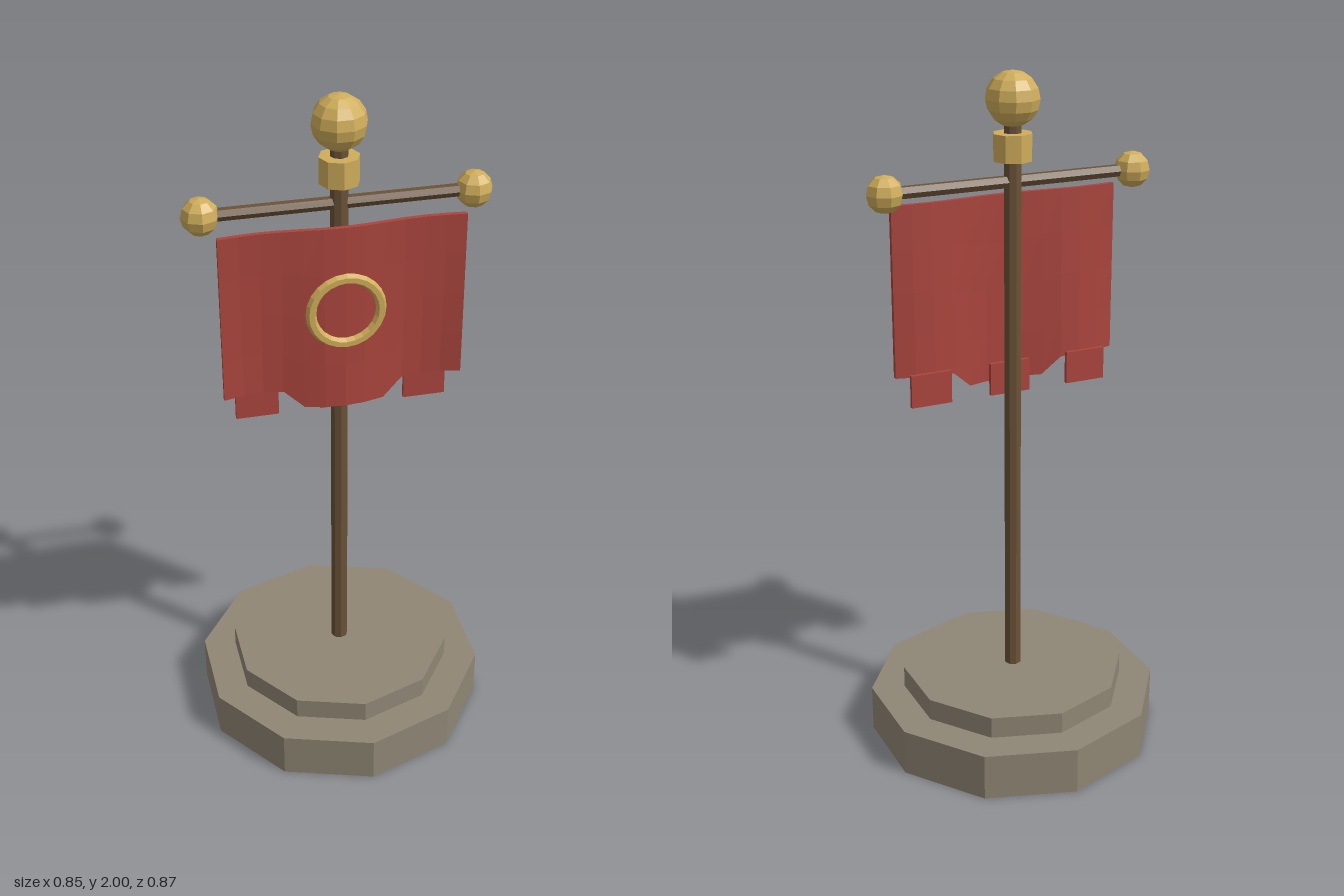
import * as THREE from 'three';

const mat = (name, color) => {
  const m = new THREE.MeshStandardMaterial({ color });
  m.name = name;
  m.flatShading = true;
  return m;
};

export function createModel() {
  const stone = mat('stone', 0x8f8675);
  const wood = mat('wood', 0x6a5238);
  const gold = mat('gold', 0xcfad5a);
  const red = mat('red cloth', 0xab453d);

  const group = new THREE.Group();
  group.name = 'bannerStand';
  const add = (name, geometry, material, x = 0, y = 0, z = 0) => {
    const mesh = new THREE.Mesh(geometry, material);
    mesh.name = name;
    mesh.position.set(x, y, z);
    group.add(mesh);
    return mesh;
  };

  // Two-step ten-sided base
  add('baseLower', new THREE.CylinderGeometry(0.435, 0.435, 0.14, 10), stone, 0, 0.07);
  add('baseUpper', new THREE.CylinderGeometry(0.335, 0.335, 0.065, 10), stone, 0, 0.1725);

  // Pole with collar and finial
  add('pole', new THREE.CylinderGeometry(0.025, 0.025, 1.68, 8), wood, 0, 1.04);
  add('collar', new THREE.CylinderGeometry(0.056, 0.056, 0.075, 8), gold, 0, 1.795);
  add('finial', new THREE.SphereGeometry(0.076, 10, 8), gold, 0, 1.924);

  // Crossbar with end knobs
  const bar = add('crossbar', new THREE.CylinderGeometry(0.018, 0.018, 0.74, 6), wood, 0, 1.7);
  bar.rotation.z = Math.PI / 2;
  for (const s of [-1, 1]) {
    add(s > 0 ? 'leftKnob' : 'rightKnob', new THREE.SphereGeometry(0.052, 8, 6), gold, s * 0.373, 1.7);
  }

  // Cloth: thin slab with folds that deepen downward and a lower middle hem
  const cloth = new THREE.BoxGeometry(0.68, 1, 0.014, 12, 4, 1);
  const p = cloth.attributes.position;
  for (let i = 0; i < p.count; i++) {
    const x = p.getX(i);
    const down = 0.5 - p.getY(i);
    const drop = THREE.MathUtils.clamp((0.175 - Math.abs(x)) / 0.06, 0, 1) * 0.055;
    const fold = (0.008 + 0.011 * down) * Math.cos((x / 0.45) * Math.PI * 2);
    p.setY(i, 1.655 - down * (0.49 + drop));
    p.setZ(i, p.getZ(i) + 0.051 + fold);
  }
  cloth.computeVertexNormals();
  add('bannerCloth', cloth, red);

  // Hem tabs
  for (const x of [-0.243, 0, 0.243]) {
    add('hemTab', new THREE.BoxGeometry(0.122, 0.095, 0.012), red, x, 1.1275, 0.022);
  }

  // Ring emblem
  add('emblemRing', new THREE.TorusGeometry(0.098, 0.015, 6, 24), gold, 0, 1.415, 0.08);

  return group;
}
